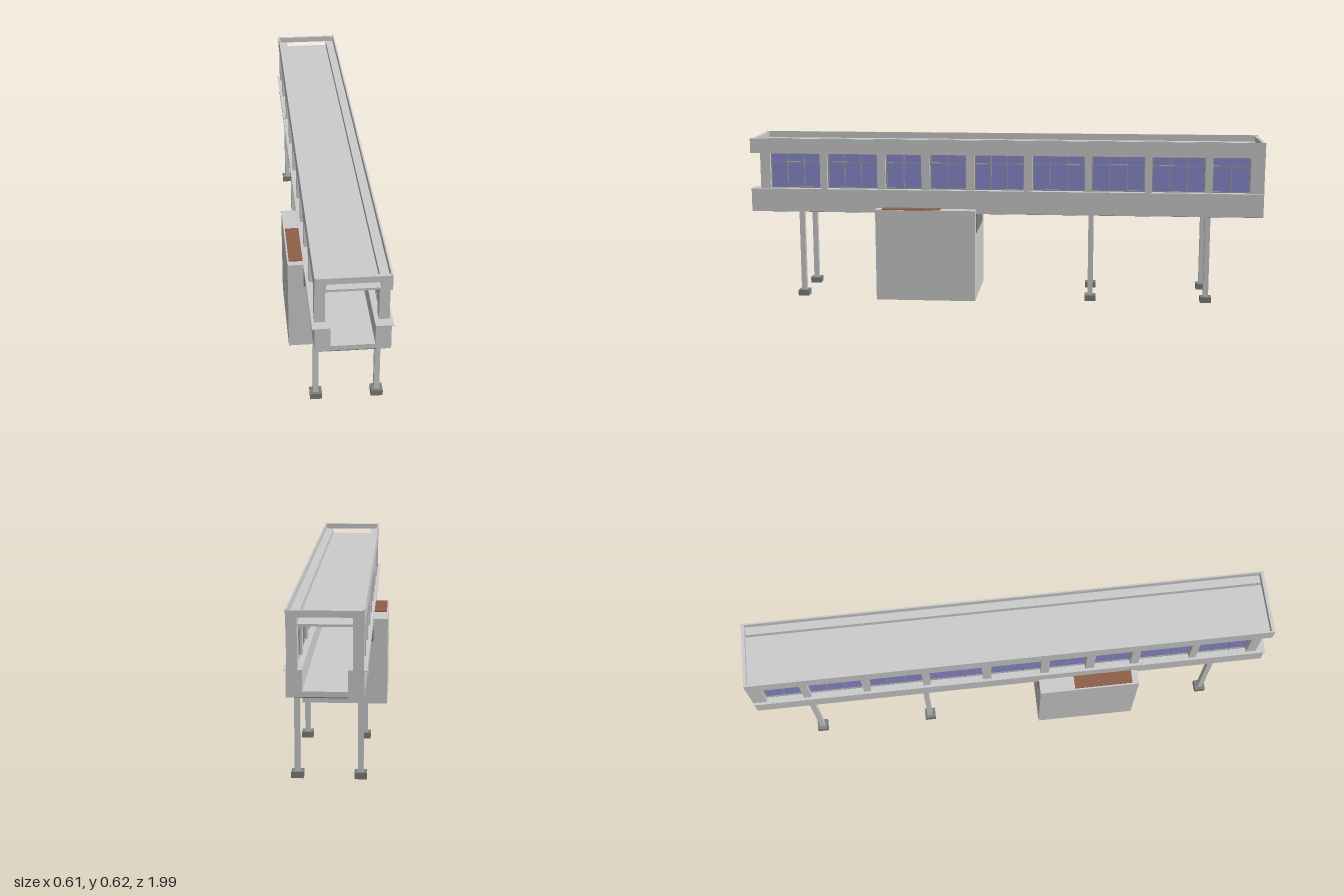
import * as THREE from 'three';

const material = (name, color) => {
  const m = new THREE.MeshStandardMaterial({ color });
  m.name = name;
  return m;
};

export function createModel() {
  const concrete = material('light concrete', 0xcccccc);
  const dark = material('dark concrete', 0x7b7f7b);
  const frame = material('window frame grey', 0xa0a0a4);
  const glass = material('blue glass', 0x8a8ad0);
  const brown = material('brown roofing', 0x8f5f48);

  const model = new THREE.Group();
  model.name = 'elevatedWalkway';
  const bridge = new THREE.Group();
  bridge.name = 'bridge';
  bridge.rotation.y = THREE.MathUtils.degToRad(-10);
  model.add(bridge);

  // Box given by its lower and upper limits on each axis
  const box = (name, mat, x0, x1, y0, y1, z0, z1) => {
    const mesh = new THREE.Mesh(new THREE.BoxGeometry(Math.abs(x1 - x0), y1 - y0, z1 - z0), mat);
    mesh.position.set((x0 + x1) / 2, (y0 + y1) / 2, (z0 + z1) / 2);
    mesh.name = name;
    bridge.add(mesh);
    return mesh;
  };

  const L = 0.988;   // half length
  const W = 0.125;   // half width
  const IN = 0.088;  // inner face of the window walls
  const SILL = 0.428, HEAD = 0.565, TOP = 0.623;

  // Window bays along the walls, from front to back: [start, end]
  const bays = [
    [0.912, 0.716], [0.688, 0.492], [0.46, 0.32], [0.287, 0.146], [0.114, -0.076],
    [-0.11, -0.31], [-0.337, -0.538], [-0.565, -0.766], [-0.794, -0.936],
  ];

  // Floor and dark underside
  box('floor', concrete, -0.073, 0.073, 0.34, 0.358, -L, L);
  box('underside', dark, -W + 0.001, W - 0.001, 0.3365, 0.34, -L + 0.001, L - 0.001);

  // Sunken centre of the roof and the end beams
  box('roofCentre', concrete, -IN, IN, 0.568, 0.576, -L + 0.002, L - 0.002);
  for (const s of [1, -1])
    box('endBeam', concrete, -0.119, 0.119, 0.598, TOP - 0.003, s * (L - 0.006) - 0.006, s * (L - 0.006) + 0.006);

  for (const s of [1, -1]) {
    // Solid wall below the windows, ledge, lintel and parapet
    box('lowerWall', concrete, s * 0.073, s * W, 0.3375, 0.425, -L, L);
    box('ledge', concrete, s * 0.073, s * 0.133, 0.425, SILL, -L, L);
    box('lintel', concrete, s * IN, s * W, HEAD, 0.598, -L, L);
    box('parapet', concrete, s * 0.119, s * W, 0.598, TOP, -L, L);

    // Piers fill the gaps between the bays
    let z = 0.95;
    for (const [a, b] of [...bays, [-L, -L]]) {
      box('pier', concrete, s * IN, s * (W - 0.002), SILL, HEAD, a, z);
      z = b;
    }

    // Windows set back in each bay
    bays.forEach(([a, b], i) => {
      const bar = (y0, y1, z0, z1) => box('windowFrame', frame, s * 0.095, s * 0.106, y0, y1, z0, z1);
      const t = 0.004, w = a - b;
      box('windowGlass', glass, s * 0.099, s * 0.102, SILL, HEAD, b, a);
      bar(SILL, SILL + t, b, a);
      bar(HEAD - t, HEAD, b, a);
      bar(0.528, 0.532, b, a);
      bar(SILL, HEAD, b, b + t);
      bar(SILL, HEAD, a - t, a);
      const panes = w > 0.17 ? 3 : 2;
      for (let k = 1; k < panes; k++) {
        const c = b + (w * k) / panes;
        bar(SILL, HEAD, c - t / 2, c + t / 2);
      }
    });

    // Pillars on square footings
    for (const p of [0.793, -0.335, -0.78]) {
      const x = s * 0.107;
      box('pillar', concrete, x - 0.01, x + 0.01, 0.02, 0.338, p - 0.01, p + 0.01);
      box('footing', dark, x - 0.021, x + 0.021, 0, 0.022, p - 0.021, p + 0.021);
    }

    // Roofing strips on the block beside the bridge
    box('roofingStrip', brown, s * W, s * 0.17 - 0.006, 0.354, 0.358, 0.245, 0.47);
  }

  // Block beneath the bridge, with dark panels where it meets the underside
  box('supportBlock', concrete, -0.182, 0.166, 0, 0.355, 0.109, 0.495);
  box('blockPanelFront', dark, -W, W, 0.262, 0.3365, 0.494, 0.497);
  box('blockPanelBack', dark, -W, W, 0.262, 0.3365, 0.107, 0.11);

  // Small vent on the inner wall
  box('vent', dark, -0.073, -0.07, 0.378, 0.412, 0.545, 0.63);

  return model;
}
